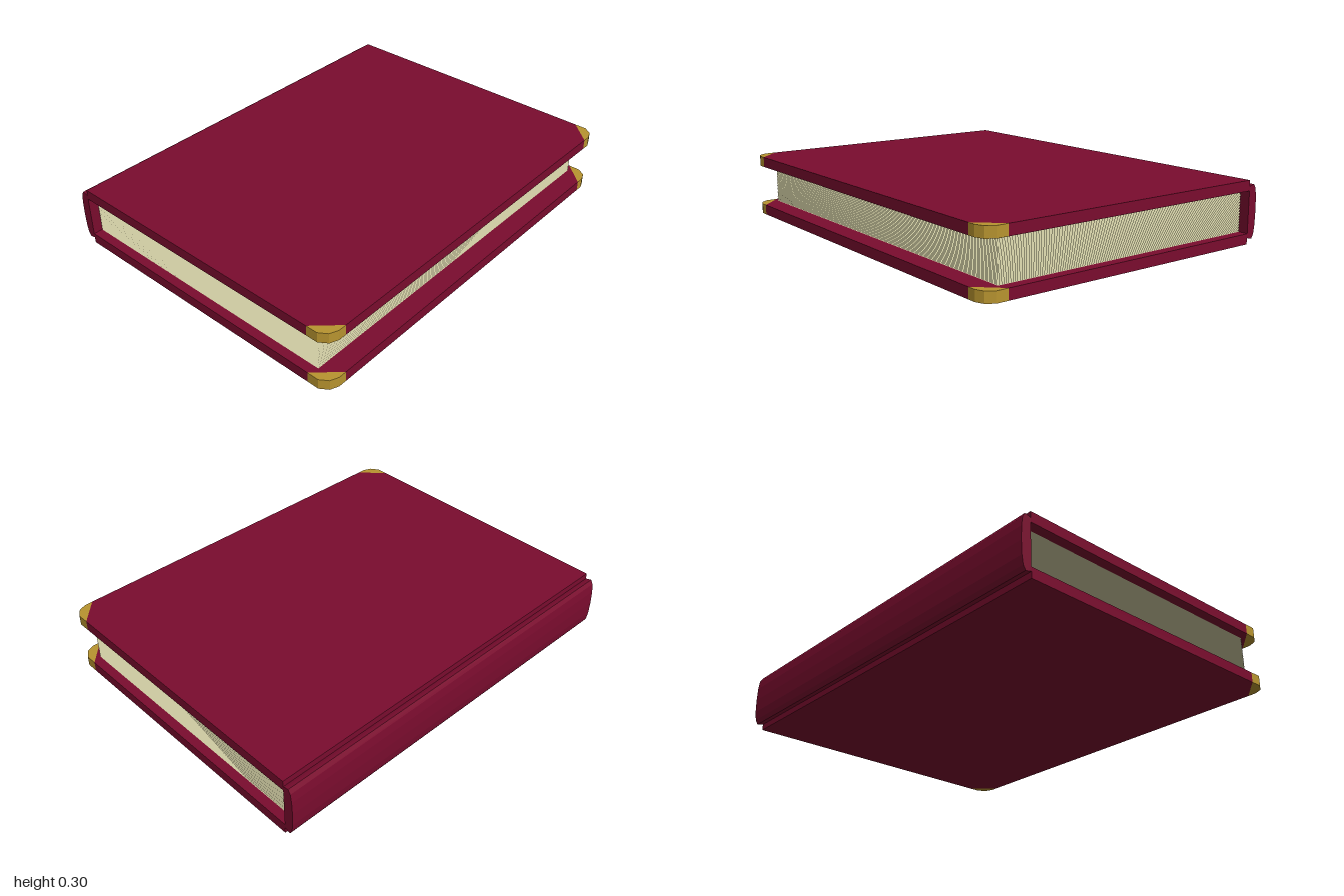
import * as THREE from 'three';

export function createModel() {
  const book = new THREE.Group();
  book.name = 'book';

  const mat = (name, color, side = THREE.FrontSide) => {
    const m = new THREE.MeshStandardMaterial({ color, side });
    m.name = name;
    return m;
  };
  const leather = mat('burgundy leather', 0x7a0c2e);
  const brass = mat('brass', 0xb8942f);
  const paper = mat('cream paper', 0xcfcba2, THREE.DoubleSide);

  const add = (name, geometry, material, parent = book) => {
    const mesh = new THREE.Mesh(geometry, material);
    mesh.name = name;
    parent.add(mesh);
    return mesh;
  };
  const extrude = (points, depth) =>
    new THREE.ExtrudeGeometry(
      new THREE.Shape(points.map(([x, y]) => new THREE.Vector2(x, y))),
      { depth, bevelEnabled: false }
    );

  // Cover board and corner guards, drawn flat and laid down
  const thick = 0.05;
  const board = extrude([[-0.725, -1], [0.66, -1], [0.773, -0.895], [0.773, 0.895], [0.66, 1], [-0.725, 1]], thick);
  board.rotateX(-Math.PI / 2);
  const corner = [[0.66, 1], [0.773, 0.895], [0.773, 0.935], [0.757, 0.974], [0.718, 1]];
  const guards = [1, -1].map((s) => {
    const g = extrude(corner.map(([x, y]) => [x, s * y]), thick);
    return g.rotateX(-Math.PI / 2);
  });

  for (const [label, y] of [['bottom', 0], ['top', 0.25]]) {
    const cover = new THREE.Group();
    cover.name = label + 'Cover';
    cover.position.y = y;
    book.add(cover);
    add(label + 'Board', board, leather, cover);
    add(label + 'BackCorner', guards[0], brass, cover);
    add(label + 'FrontCorner', guards[1], brass, cover);
  }

  // Rounded spine running the full height of the book
  const half = [[-0.725, 0.12], [-0.74, 0.125], [-0.755, 0.128], [-0.767, 0.108], [-0.773, 0.065]];
  const profile = [...half, [-0.775, 0], ...half.map(([x, y]) => [x, -y]).reverse()];
  const spine = add('spine', extrude(profile, 2), leather);
  spine.position.set(0, 0.15, -1);

  // Stack of single paper sheets
  const pages = new THREE.Group();
  pages.name = 'pages';
  book.add(pages);
  const sheet = new THREE.PlaneGeometry(1.4, 1.91).rotateX(-Math.PI / 2);
  const count = 100;
  for (let i = 0; i < count; i++) {
    const page = add('page', sheet, paper, pages);
    page.position.set(-0.022, 0.051 + (0.198 * i) / (count - 1), 0);
  }

  return book;
}
